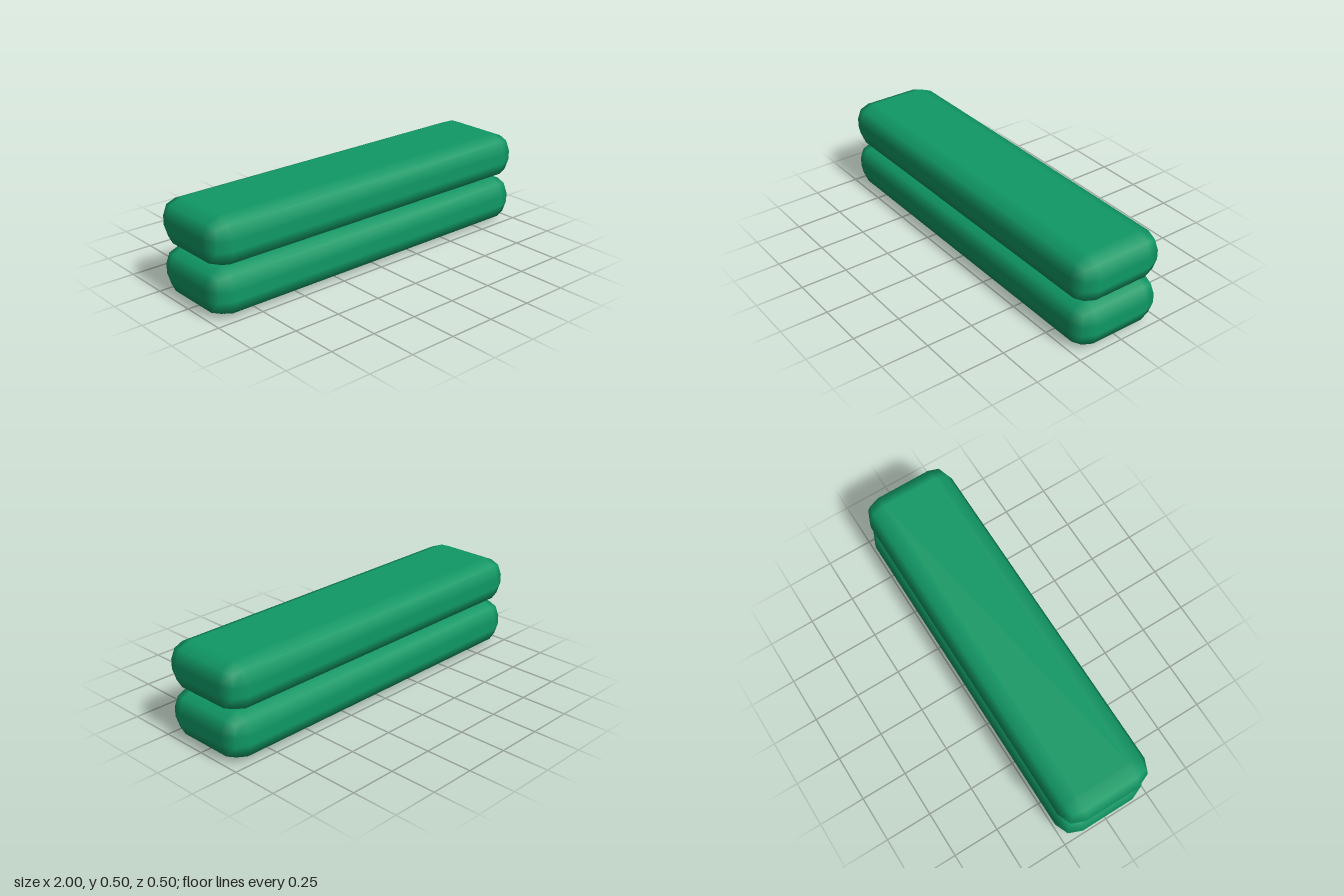
import * as THREE from 'three';
import { RoundedBoxGeometry } from 'three/addons/geometries/RoundedBoxGeometry.js';

export function createModel() {
  const group = new THREE.Group();
  group.name = 'stackedBars';

  const green = new THREE.MeshStandardMaterial({ color: 0x109966 });
  green.name = 'green';

  // Two identical bars with coarse rounded edges, one resting on the other
  const height = 0.25;
  const barGeometry = new RoundedBoxGeometry(2, height, 0.5, 1, 0.1);
  ['lowerBar', 'upperBar'].forEach((name, i) => {
    const bar = new THREE.Mesh(barGeometry, green);
    bar.name = name;
    bar.position.y = height * (i + 0.5);
    group.add(bar);
  });

  return group;
}
